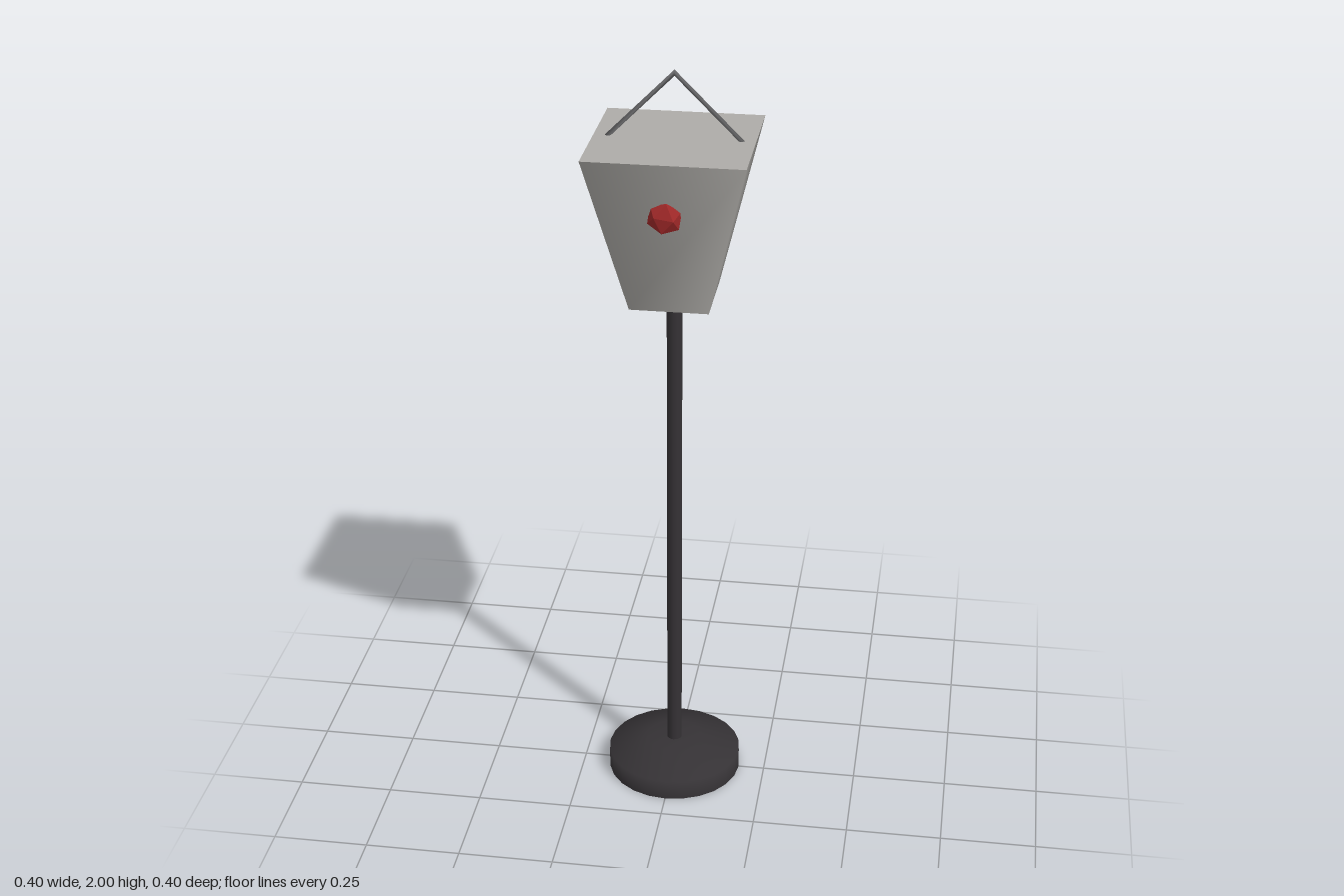
import * as THREE from 'three';

function part(name, geometry, color, options = {}) {
  const mesh = new THREE.Mesh(geometry, new THREE.MeshStandardMaterial({ color, ...options }));
  mesh.name = name;
  return mesh;
}

export function createModel() {
  const model = new THREE.Group();
  model.name = 'lampPost';
  const dark = 0x353235;

  // Hollow foot: upright rim, sloping shoulder, flat top
  const profile = [[0.18, 0], [0.18, 0.055], [0.075, 0.085], [0, 0.085]]
    .map(([r, y]) => new THREE.Vector2(r, y));
  model.add(part('base', new THREE.LatheGeometry(profile, 24), dark, { side: THREE.DoubleSide }));

  // Pole from inside the foot up into the lantern
  const poleBottom = 0.06, poleTop = 1.82;
  const pole = part('pole',
    new THREE.CylinderGeometry(0.02, 0.02, poleTop - poleBottom, 12), dark);
  pole.position.y = (poleBottom + poleTop) / 2;
  model.add(pole);

  // Four-sided lantern, smooth across its corners and open at the bottom
  const shadeBottom = 1.41, shadeTop = 1.828;
  const shadeMaterial = { side: THREE.DoubleSide };
  const shade = part('lanternWalls',
    new THREE.CylinderGeometry(0.2 * Math.SQRT2, 0.1 * Math.SQRT2, shadeTop - shadeBottom, 4, 1, true)
      .rotateY(Math.PI / 4), 0xaeaca8, shadeMaterial);
  shade.position.y = (shadeBottom + shadeTop) / 2;
  model.add(shade);

  const cap = part('lanternTop',
    new THREE.PlaneGeometry(0.4, 0.4).rotateX(-Math.PI / 2), 0xaeaca8, shadeMaterial);
  cap.position.y = shadeTop;
  model.add(cap);

  // Bent wire handle: a half ring of two straight pieces
  const handle = part('handle', new THREE.TorusGeometry(0.164, 0.008, 6, 2, Math.PI), 0x68686a);
  handle.position.y = shadeTop;
  model.add(handle);

  // Flattened faceted red knob set in the front wall
  const knob = part('knob',
    new THREE.IcosahedronGeometry(0.046, 0).rotateZ(Math.PI / 2 - 0.15), 0xa52a2a, { flatShading: true });
  knob.scale.z = 0.5;
  knob.position.set(0, 1.685, 0.166);
  model.add(knob);

  return model;
}
